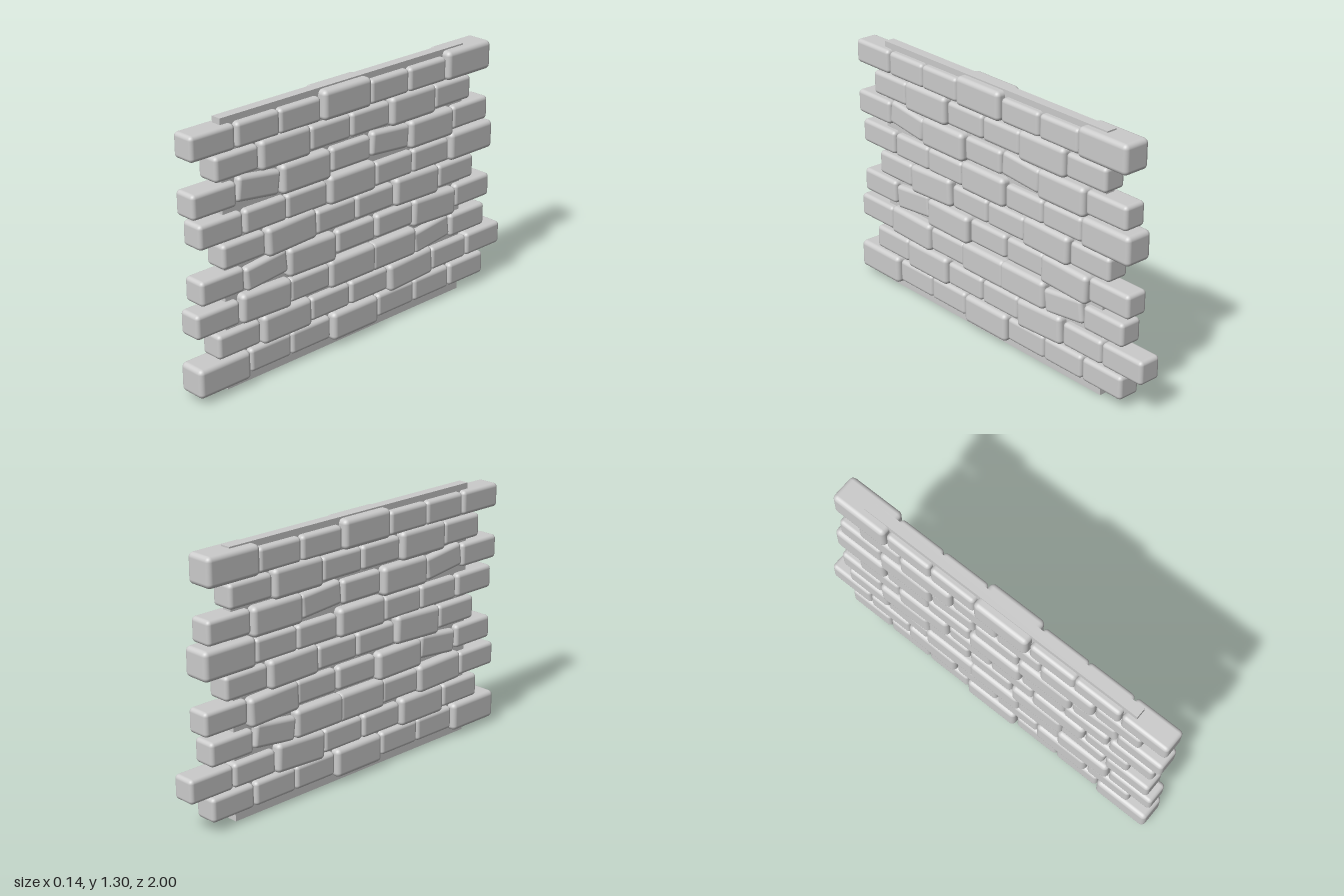
import * as THREE from 'three';
import { RoundedBoxGeometry } from 'three/addons/geometries/RoundedBoxGeometry.js';

// Each course: height of small and big bricks, then bricks as [size, z, tilt]
const S = 'small', B = 'big';
const COURSES = [
  { small: 0.11, big: 0.103, bricks: [[B, 0.853], [S, 0.572], [S, 0.321], [B, 0.037], [S, -0.243], [S, -0.495], [S, -0.751]] },
  { small: 0.24, big: 0.24, bricks: [[S, 0.757], [B, 0.473], [S, 0.195], [S, -0.061], [B, -0.34, 0.05], [S, -0.62], [S, -0.874]] },
  { small: 0.38, big: 0.383, bricks: [[S, 0.877], [B, 0.596, -0.03], [S, 0.324], [B, 0.056], [B, -0.222], [S, -0.492, 0.13], [S, -0.751]] },
  { small: 0.532, big: 0.523, bricks: [[S, 0.845], [S, 0.586, 0.1], [B, 0.313, -0.015], [S, 0.027], [S, -0.233], [B, -0.5, -0.04], [S, -0.781]] },
  { small: 0.668, big: 0.67, bricks: [[S, 0.717], [B, 0.436, 0.045], [S, 0.155], [S, -0.099], [B, -0.377, -0.02], [S, -0.658]] },
  { small: 0.8, big: 0.806, bricks: [[S, 0.845], [S, 0.586], [S, 0.337], [B, 0.056], [S, -0.225], [S, -0.476], [B, -0.757]] },
  { small: 0.95, big: 0.941, bricks: [[S, 0.877], [S, 0.623, -0.13], [B, 0.345], [S, 0.059], [S, -0.198, -0.08], [B, -0.473], [S, -0.751]] },
  { small: 1.087, big: 1.088, bricks: [[S, 0.746], [B, 0.468], [S, 0.187], [S, -0.067], [B, -0.345], [S, -0.623]] },
  { small: 1.215, big: 1.225, bricks: [[S, 0.877], [S, 0.62], [S, 0.372], [B, 0.088], [S, -0.193], [S, -0.447], [B, -0.725]] },
];

export function createModel() {
  const wall = new THREE.Group();
  wall.name = 'brickWall';
  const material = new THREE.MeshStandardMaterial({ color: 0xcccccc });
  const geometries = {
    small: new RoundedBoxGeometry(0.12, 0.12, 0.25, 3, 0.02),
    big: new RoundedBoxGeometry(0.145, 0.145, 0.3, 3, 0.024),
  };

  // Thin mortar slab running through the middle of the wall
  const mortar = new THREE.Mesh(new THREE.BoxGeometry(0.052, 1.305, 1.53), material);
  mortar.name = 'mortarCore';
  mortar.position.set(0, 0.6525, 0.047);
  wall.add(mortar);

  // Courses of bricks, a few of them knocked askew
  COURSES.forEach((row, i) => {
    const course = new THREE.Group();
    course.name = `course${i + 1}`;
    row.bricks.forEach(([size, z, tilt = 0], j) => {
      const brick = new THREE.Mesh(geometries[size], material);
      brick.name = `${size}Brick${j + 1}`;
      brick.position.set(0, row[size], z);
      brick.rotation.x = tilt;
      course.add(brick);
    });
    wall.add(course);
  });
  return wall;
}
